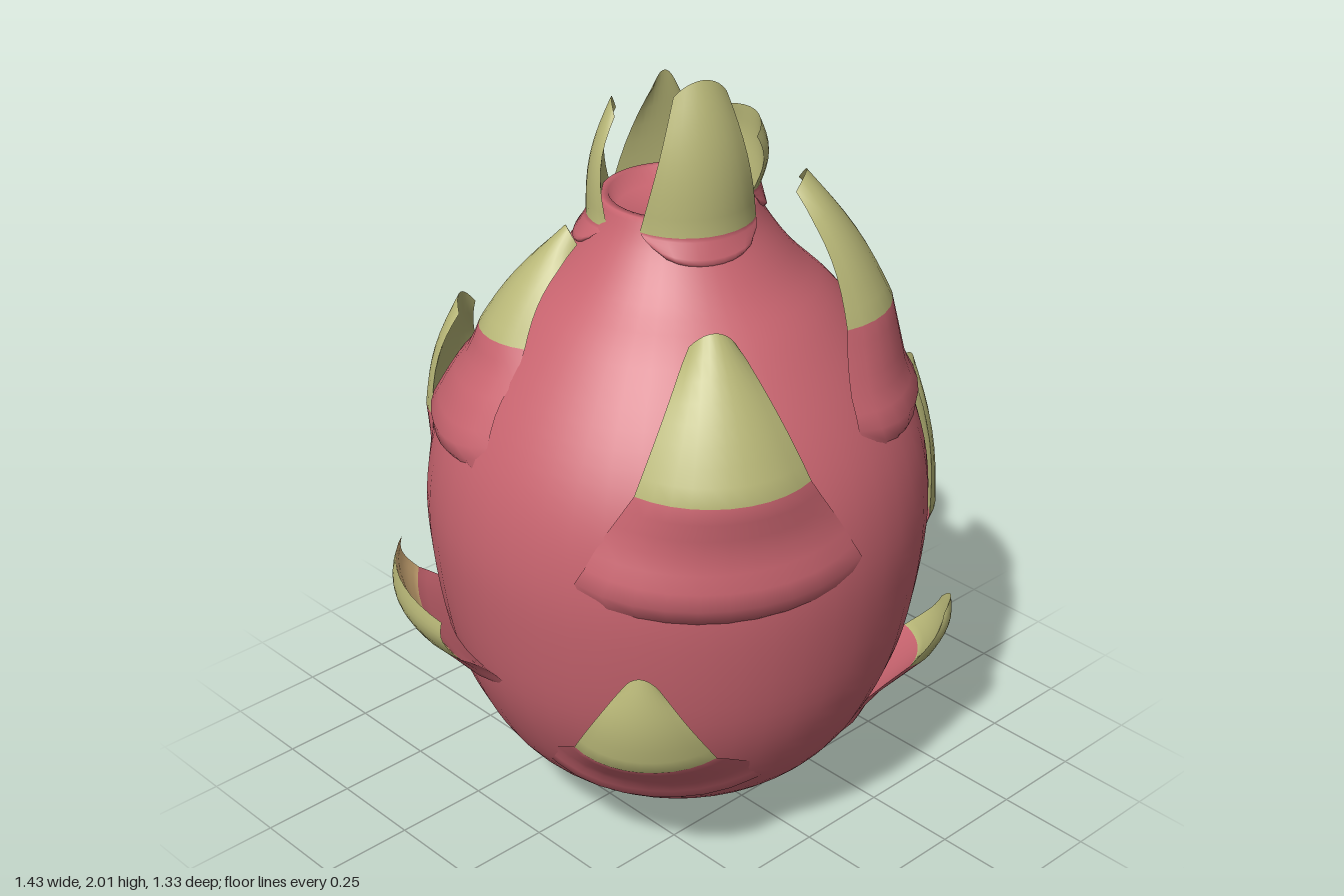
import * as THREE from 'three';

const skin = new THREE.MeshStandardMaterial({ color: 0xc8646f });
skin.name = 'pink skin';
const olive = new THREE.MeshStandardMaterial({ color: 0xb9b878 });
olive.name = 'olive tip';
const tan = new THREE.MeshStandardMaterial({ color: 0xe0b880 });
tan.name = 'dry tan';

// Body outline as [radius, height]
const outline = [
  [0, 0], [0.08, 0.01], [0.18, 0.04], [0.34, 0.11], [0.46, 0.21], [0.545, 0.35], [0.605, 0.52], [0.64, 0.75],
  [0.64, 0.92], [0.605, 1.08], [0.53, 1.23], [0.41, 1.39], [0.3, 1.5], [0.225, 1.6], [0.19, 1.67],
];
const lerp = THREE.MathUtils.lerp;

function bodyRadius(y) {
  for (let i = 1; i < outline.length; i++) {
    const [r0, y0] = outline[i - 1], [r1, y1] = outline[i];
    if (y <= y1) return lerp(r0, r1, (y - y0) / (y1 - y0));
  }
  return 0.18;
}

// A scale wraps the body: pink base hugging the skin, then a free, coloured tip.
// az: degrees from the front; y, w, r: heights, half widths and radii at base (b), colour seam (m), tip (t)
// lift: how far the pink base stands off the skin; cup: how far the side edges bend inward; drop: tip rounding
function makeScale({ name, az, yb, ym, yt, wb, wm, wt = 0.045, rm, rt, tilt = 0, lift = 0.04, cup = 0.06, drop = 0.04, inner = olive }) {
  const a0 = THREE.MathUtils.degToRad(az), cols = 10, pinkRows = 8, tipRows = 8;
  const rows = pinkRows + tipRows, pos = [];
  const rb = bodyRadius(yb);

  for (let i = 0; i <= rows; i++) {
    const inTip = i > pinkRows;
    const s = inTip ? (i - pinkRows) / tipRows : i / pinkRows;
    const yc = inTip ? lerp(ym, yt, s) : lerp(yb, ym, s);
    let rad, w, thick;
    if (inTip) {
      rad = lerp(rm, rt, s) + 0.02 * Math.sin(Math.PI * s);
      w = lerp(wm, wt, s);
      thick = 0.04 * (1 - s * s);
    } else {
      const rise = Math.min(1, s * 5);
      rad = Math.max(lerp(rb, rm, s), bodyRadius(yc) + lift) - (0.03 + lift) * (1 - rise);
      w = s < 0.25 ? lerp(0.85 * wb, wb, s / 0.25) : lerp(wb, wm, (s - 0.25) / 0.75);
      thick = lerp(0.09, 0.04, s);
    }
    for (let k = 0; k < 2; k++) {
      for (let j = 0; j <= cols; j++) {
        const u = (k ? -1 : 1) * (2 * j / cols - 1);
        const y = yc + tilt * u + (inTip ? -drop * s * s : 0.04 * (1 - s)) * u * u;
        let r = rad - cup * (inTip ? 1 - 0.7 * s : s) * u * u;
        if (!inTip) r = lerp(r, bodyRadius(y) - 0.005, Math.pow(u, 4) * (1 - s));
        if (k) r -= thick * (1 - u * u);
        const a = a0 + u * w / Math.max(rad, 0.7 * rm);
        pos.push(Math.sin(a) * r, y, Math.cos(a) * r);
      }
    }
  }

  // Faces grouped as pink base, tip outside, tip inside
  const groups = [[], [], []], stride = 2 * (cols + 1);
  for (let i = 0; i < rows; i++) {
    for (let k = 0; k < 2; k++) {
      for (let j = 0; j < cols; j++) {
        const a = i * stride + k * (cols + 1) + j, b = a + 1, c = a + stride, d = c + 1;
        groups[i < pinkRows ? 0 : 1 + k].push(a, b, c, b, d, c);
      }
    }
  }
  const geo = new THREE.BufferGeometry();
  geo.setAttribute('position', new THREE.Float32BufferAttribute(pos, 3));
  geo.setIndex(groups.flat());
  let start = 0;
  groups.forEach((g, n) => { geo.addGroup(start, g.length, n); start += g.length; });
  geo.computeVertexNormals();
  const mesh = new THREE.Mesh(geo, [skin, olive, inner]);
  mesh.name = name;
  return mesh;
}

const scales = [
  // Upper ring
  { name: 'upperScaleFrontLeft', az: 40, yb: 1.08, ym: 1.41, yt: 1.74, wb: 0.34, wm: 0.225, wt: 0.06, rm: 0.53, rt: 0.31 },
  { name: 'upperScaleFrontRight', az: -33, yb: 0.8, ym: 1.16, yt: 1.5, wb: 0.39, wm: 0.235, wt: 0.06, rm: 0.67, rt: 0.45 },
  { name: 'upperScaleBackLeft', az: 136, yb: 1.02, ym: 1.19, yt: 1.46, wb: 0.33, wm: 0.2, rm: 0.62, rt: 0.49 },
  { name: 'upperScaleBackRight', az: -119, yb: 1.04, ym: 1.36, yt: 1.61, wb: 0.25, wm: 0.165, rm: 0.5, rt: 0.28 },
  // Middle ring
  { name: 'middleScaleLeft', az: 70, yb: 0.5, ym: 0.71, yt: 1.1, wb: 0.25, wm: 0.205, rm: 0.73, rt: 0.67 },
  { name: 'middleScaleBack', az: 202, yb: 0.7, ym: 0.99, yt: 1.28, wb: 0.25, wm: 0.165, rm: 0.71, rt: 0.62 },
  // Lower ring
  { name: 'lowerScaleFrontLeft', az: 45, yb: 0.06, ym: 0.37, yt: 0.53, wb: 0.33, wm: 0.115, rm: 0.68, rt: 0.72, drop: 0.03 },
  { name: 'lowerScaleFrontRight', az: -51, yb: 0.18, ym: 0.44, yt: 0.71, wb: 0.34, wm: 0.195, rm: 0.69, rt: 0.69 },
  { name: 'lowerScaleBackLeft', az: 139, yb: 0.16, ym: 0.42, yt: 0.71, wb: 0.34, wm: 0.185, rm: 0.68, rt: 0.68 },
  // Blunt, dried flap
  { name: 'driedFlap', az: -117, yb: 0.42, ym: 0.58, yt: 0.7, wb: 0.3, wm: 0.29, wt: 0.27, rm: 0.715, rt: 0.735, tilt: 0.025, lift: 0.01, cup: 0.02, drop: 0.01, inner: tan },
  // Crown around the top hollow
  { name: 'crownLeafFront', az: -24, yb: 1.56, ym: 1.64, yt: 2.01, wb: 0.15, wm: 0.18, wt: 0.07, rm: 0.225, rt: 0.17, lift: 0, cup: 0.02 },
  { name: 'crownLeafLeft', az: 68, yb: 1.6, ym: 1.69, yt: 1.85, wb: 0.12, wm: 0.14, wt: 0.13, rm: 0.205, rt: 0.2, lift: 0, cup: 0.02, drop: 0.02 },
  { name: 'crownLeafBackLeft', az: 148, yb: 1.46, ym: 1.54, yt: 1.92, wb: 0.13, wm: 0.17, wt: 0.035, rm: 0.265, rt: 0.165, lift: 0, cup: 0.02 },
  { name: 'crownLeafBackRight', az: 225, yb: 1.54, ym: 1.62, yt: 1.91, wb: 0.12, wm: 0.14, wt: 0.035, rm: 0.225, rt: 0.16, lift: 0, cup: 0.02 },
];

export function createModel() {
  const group = new THREE.Group();
  group.name = 'scalyFruit';

  // Egg-shaped body closed by a shallow hollow
  const curve = new THREE.SplineCurve(outline.map(([r, y]) => new THREE.Vector2(r, y)));
  const profile = curve.getPoints(56).map((p) => new THREE.Vector2(Math.max(0, p.x), Math.max(0, p.y)));
  profile.push(new THREE.Vector2(0.17, 1.67), new THREE.Vector2(0.15, 1.63), new THREE.Vector2(0, 1.61));
  const body = new THREE.Mesh(new THREE.LatheGeometry(profile, 48), skin);
  body.name = 'body';
  group.add(body);

  for (const s of scales) group.add(makeScale(s));
  return group;
}
